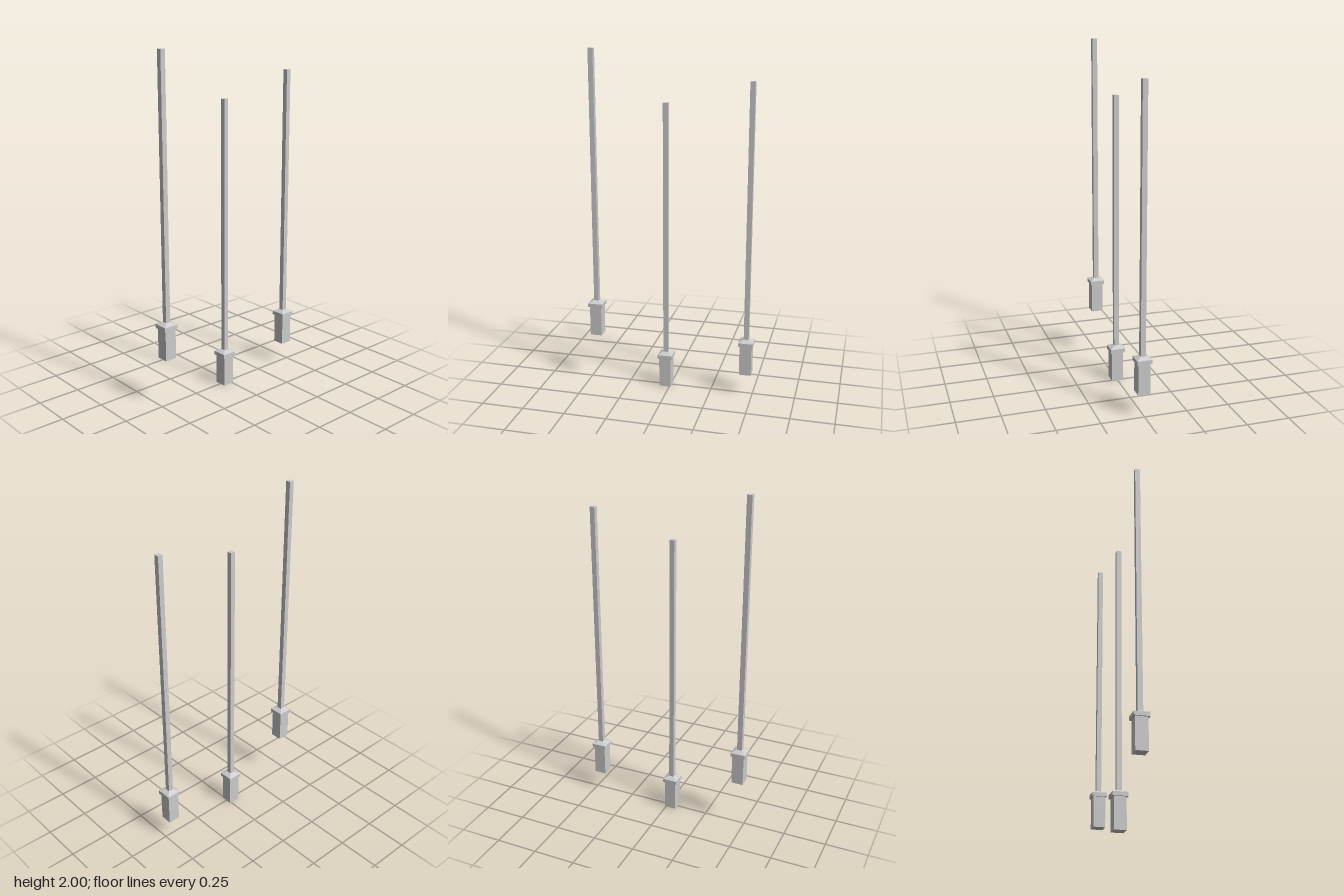
import * as THREE from 'three';

const material = new THREE.MeshStandardMaterial({ color: 0xcccccc, flatShading: true });

function addPart(parent, name, geometry, y) {
  const mesh = new THREE.Mesh(geometry, material);
  mesh.name = name;
  mesh.position.y = y;
  parent.add(mesh);
}

// Square frustum with its sides facing the axes
function frustum(topWidth, bottomWidth, height) {
  return new THREE.CylinderGeometry(topWidth * Math.SQRT1_2, bottomWidth * Math.SQRT1_2, height, 4)
    .rotateY(Math.PI / 4);
}

// Square lantern hanging from a long rod, standing on its own y = 0
function createLantern() {
  const lantern = new THREE.Group();
  addPart(lantern, 'lanternBody', new THREE.BoxGeometry(0.07, 0.18, 0.07), 0.09);
  addPart(lantern, 'capRim', new THREE.BoxGeometry(0.087, 0.023, 0.087), 0.1915);
  addPart(lantern, 'capSlope', frustum(0.029, 0.087, 0.014), 0.21);
  addPart(lantern, 'hangingRod', new THREE.BoxGeometry(0.029, 1.494, 0.029), 1.963 - 1);
  return lantern;
}

export function createModel() {
  const model = new THREE.Group();
  model.name = 'hangingLanterns';
  // Name, x and bottom height of each lantern
  const lanterns = [
    ['rightLantern', -0.457, 0.29],
    ['middleLantern', -0.027, 0],
    ['leftLantern', 0.457, 0.13],
  ];
  for (const [name, x, y] of lanterns) {
    const lantern = createLantern();
    lantern.name = name;
    lantern.position.set(x, y, 0);
    model.add(lantern);
  }
  return model;
}
